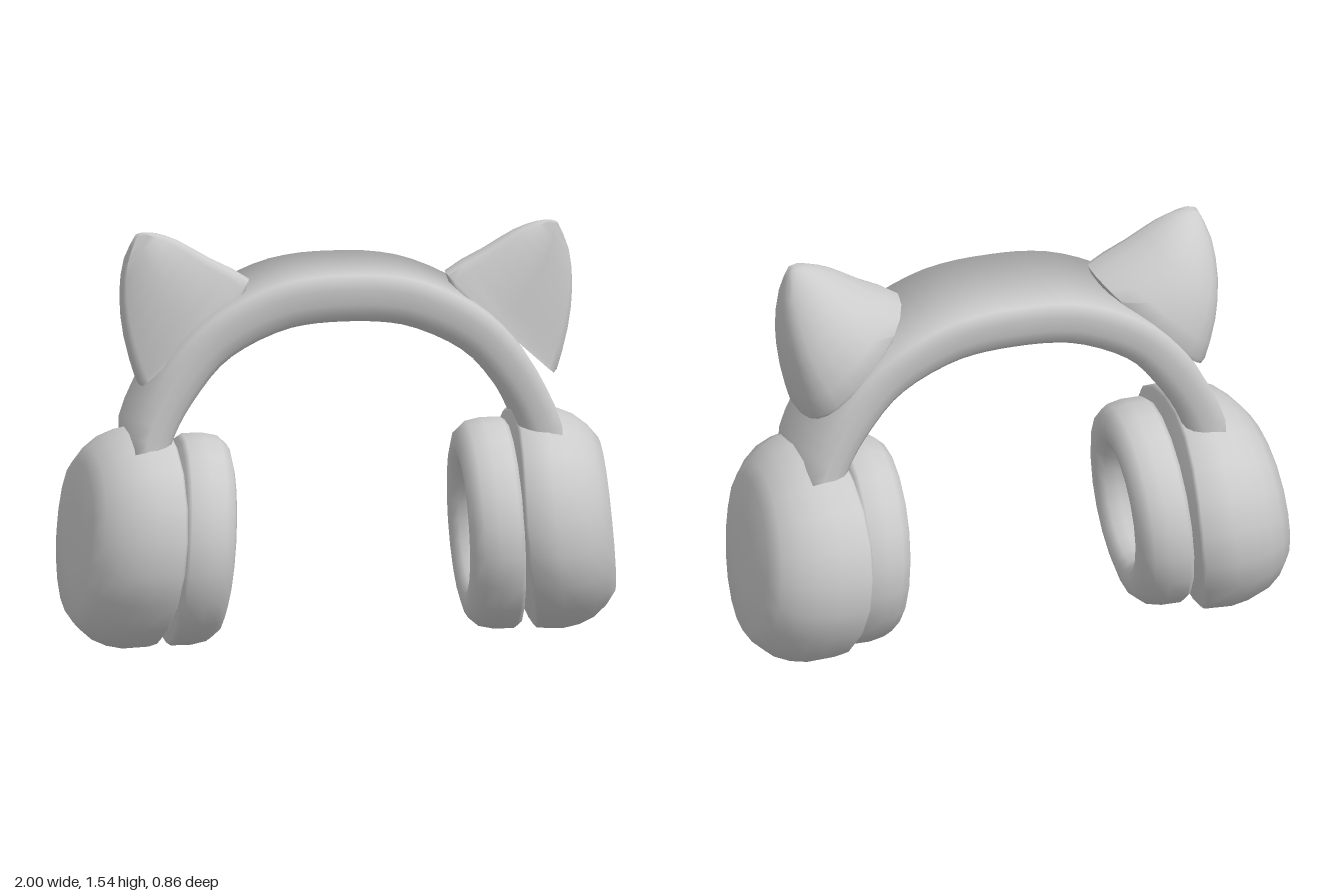
import * as THREE from 'three';
import { toCreasedNormals } from 'three/addons/utils/BufferGeometryUtils.js';

const grey = new THREE.MeshStandardMaterial({ color: 0xcccccc });
grey.name = 'plain grey';

// Closed skin over a list of closed rings, capped at both ends and turned outward
function loft(name, rings, crease) {
  const n = rings[0].length, pos = [], idx = [];
  rings.forEach(r => r.forEach(p => pos.push(...p)));
  for (let i = 0; i < rings.length - 1; i++) {
    for (let j = 0; j < n; j++) {
      const a = i * n + j, b = i * n + (j + 1) % n;
      idx.push(a, b, b + n, a, b + n, a + n);
    }
  }
  [0, rings.length - 1].forEach(k => {
    const c = pos.length / 3;
    for (let d = 0; d < 3; d++) pos.push(rings[k].reduce((s, p) => s + p[d], 0) / n);
    for (let j = 0; j < n; j++) {
      const a = k * n + j, b = k * n + (j + 1) % n;
      k ? idx.push(a, b, c) : idx.push(b, a, c);
    }
  });
  // signed volume tells whether the winding must be reversed
  const v = i => new THREE.Vector3().fromArray(pos, i * 3);
  let volume = 0;
  for (let t = 0; t < idx.length; t += 3) volume += v(idx[t]).dot(v(idx[t + 1]).cross(v(idx[t + 2])));
  if (volume < 0) idx.reverse();
  const geo = new THREE.BufferGeometry();
  geo.setAttribute('position', new THREE.Float32BufferAttribute(pos, 3));
  geo.setIndex(idx);
  const mesh = new THREE.Mesh(toCreasedNormals(geo, crease), grey);
  mesh.name = name;
  return mesh;
}

// Smooth samples through a few 2D points
const smooth = (pts, n) =>
  new THREE.SplineCurve(pts.map(p => new THREE.Vector2(...p))).getPoints(n);

// Rings around the x axis from a profile of [radius, x]
function turned(profile, sides, place) {
  return profile.map(([r, x]) => Array.from({ length: sides }, (_, j) => {
    const a = (j + 0.5) / sides * Math.PI * 2;
    return place(r, x, Math.cos(a), Math.sin(a));
  }));
}

// Ear cup: flat outer disc, rounded shoulder, slightly tilted and bent inner rim
function earCup(s, dy) {
  const profile = [[0.3, 0.62], [0.97, 0.62], [1, 0.63], [1.01, 0.74], [0.98, 0.81],
    [0.92, 0.875], [0.82, 0.93], [0.7, 0.97], [0.3, 0.978]];
  return loft('earCup', turned(profile, 20, (r, x, c, d) => {
    const w = (x - 0.62) / 0.36;
    // fuller shoulders where the headband joins, most of all at the front
    const f = r * (1 + (c > 0 ? 4 * c * c * d * d * (d > 0 ? 0.065 : 0.025) : 0));
    const y = 0.4 * f * c, z = 0.43 * f * d;
    const bend = 0.045 * (1 - w) * r * r * c * c;
    return [s * (x + bend - 0.09 * y - 0.06 * w * z), 0.425 + dy + y, z - 0.003];
  }), 1.1);
}

// Ear cushion: fat ring around a steep-walled hollow
function earCushion(s, dy, tilt) {
  const profile = [[0.2, 0.62], [0.97, 0.62], [1, 0.603], [1, 0.53], [0.97, 0.475], [0.89, 0.44],
    [0.77, 0.427], [0.66, 0.433], [0.585, 0.458], [0.545, 0.5], [0.52, 0.55], [0.47, 0.6], [0.2, 0.61]];
  return loft('earCushion', turned(profile, 20, (r, x, c, d) => {
    const y = 0.384 * r * c;
    return [s * (x - tilt * y), 0.416 + dy + y, 0.03 + 0.362 * r * d];
  }), 1.1);
}

// Headband: flat outside, rounded edges, gently hollowed underside
function headband() {
  const half = pts => smooth([...pts.map(([x, y]) => [-x, y]).reverse(), ...pts.slice(1)], 36);
  const outer = half([[0, 1.39], [0.13, 1.385], [0.26, 1.36], [0.4, 1.3], [0.52, 1.22],
    [0.62, 1.115], [0.7, 0.99], [0.775, 0.82], [0.775, 0.72]]);
  const inner = half([[0, 1.205], [0.12, 1.2], [0.23, 1.18], [0.36, 1.125], [0.46, 1.055],
    [0.54, 0.955], [0.6, 0.86], [0.635, 0.78], [0.66, 0.7]]);
  // section: [z, depth from outside to inside]
  const side = [[0.212, 0], [0.215, 0.3], [0.209, 0.6], [0.193, 0.83], [0.17, 0.96], [0.14, 1], [0.08, 0.95]];
  const section = [...side, [0, 0.92], ...side.map(([z, t]) => [-z, t]).reverse()];
  const rings = outer.map((o, i) => section.map(([z, t]) => {
    const p = o.clone().lerp(inner[i], t);
    return [p.x, p.y, z + 0.012];
  }));
  return loft('headband', rings, 1.8);
}

// Cat ear: flat front with rounded rim, domed back, narrowing from the sloping base to a blunt tip
function catEar(s) {
  const upper = smooth([[0.40, 1.305], [0.358, 1.36], [0.5, 1.44], [0.61, 1.505], [0.69, 1.535], [0.735, 1.54]], 10);
  const lower = smooth([[0.75, 0.985], [0.765, 0.99], [0.805, 1.14], [0.822, 1.29], [0.81, 1.43], [0.77, 1.53]], 10);
  const back = smooth([[0, -0.16], [1, -0.177], [2, -0.155], [3, -0.095], [4, -0.01], [5, 0.06]], 10);
  const rings = upper.map((a, i) => {
    const t = i / 10, b = lower[i], front = 0.14 - 0.04 * t, rim = front - 0.05 * (1 - 0.6 * t);
    const ring = [];
    const add = (u, z) => {
      const p = a.clone().lerp(b, u);
      ring.push([s * p.x + 0.012, p.y, z]);
    };
    // back: slim towards the upper edge, full towards the lower one
    for (let j = 0; j <= 12; j++) {
      const q = j / 12 * Math.PI, c = Math.cos(q);
      const u = c > 0 ? 0.6 - 0.6 * c : 0.6 + 0.4 * (-c) ** 0.7;
      add(u, rim - Math.sin(q) ** (c > 0 ? 1 : 0.7) * (rim - back[i].y));
    }
    // front face with softened edges
    for (const [u, dz] of [[0.985, 0.015], [0.93, 0], [0.5, 0], [0.07, 0], [0.015, 0.015]]) add(u, front - dz);
    return ring;
  });
  return loft('catEar', rings, 1.1);
}

export function createModel() {
  const model = new THREE.Group();
  model.name = 'catEarHeadphones';
  model.add(headband());
  for (const [s, dy, tilt, label] of [[1, 0, 0.045, 'left'], [-1, -0.024, 0.075, 'right']]) {
    const half = new THREE.Group();
    half.name = label + 'Side';
    half.add(earCup(s, dy), earCushion(s, dy, tilt), catEar(s));
    model.add(half);
  }
  return model;
}
